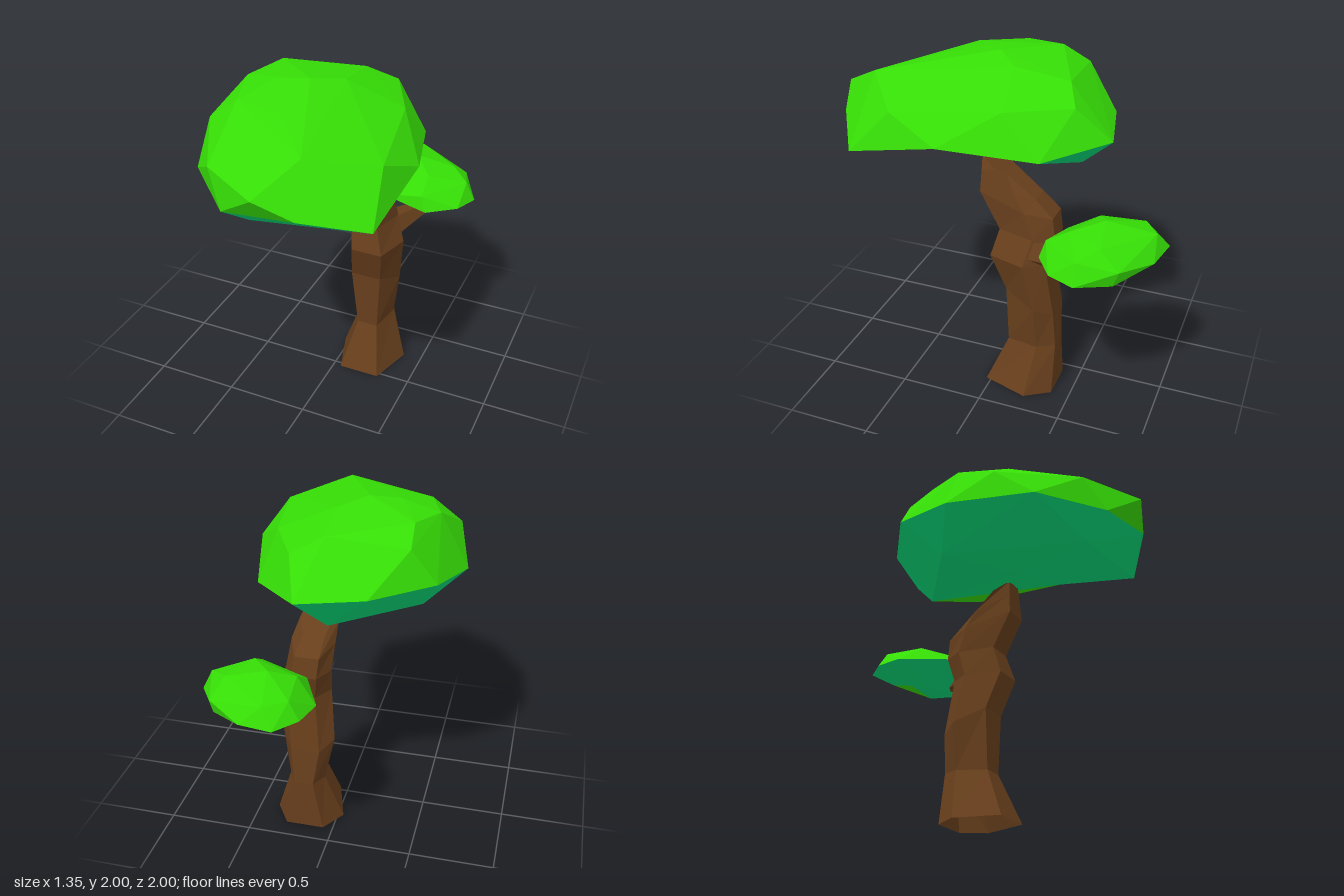
import * as THREE from 'three';
import { ConvexGeometry } from 'three/addons/geometries/ConvexGeometry.js';

const material = (name, color, side = THREE.FrontSide) => {
  const m = new THREE.MeshStandardMaterial({ color, side });
  m.name = name;
  return m;
};

function flatGeometry(positions) {
  const g = new THREE.BufferGeometry();
  g.setAttribute('position', new THREE.Float32BufferAttribute(positions, 3));
  g.computeVertexNormals();
  return g;
}

// Faceted trunk, open at the ground: each section is [yFront, yBack, xMin, xMax, zFront, zBack]
function trunkGeometry(sections) {
  const hex = [[-0.6, 0], [0.6, 0], [1, 0.65], [0.55, 1], [-0.55, 1], [-1, 0.65]];
  const mix = THREE.MathUtils.lerp;
  const rings = sections.map(([yf, yb, x0, x1, zf, zb]) =>
    hex.map(([u, v]) => [mix(x0, x1, (u + 1) / 2), mix(yf, yb, v), mix(zf, zb, v)]));
  const out = [];
  const tri = (...corners) => corners.forEach((c) => out.push(...c));
  for (let r = 0; r < rings.length - 1; r++) {
    const lo = rings[r], hi = rings[r + 1];
    for (let i = 0; i < 6; i++) {
      const j = (i + 1) % 6;
      tri(lo[i], lo[j], hi[j]);
      tri(lo[i], hi[j], hi[i]);
    }
  }
  const top = rings[rings.length - 1];
  for (let i = 1; i < 5; i++) tri(top[0], top[i], top[i + 1]);
  return flatGeometry(out);
}

// Faceted crown: a hull above the rim, and an underside joining the rim to a few low points.
// keel: low points in rim order; feet[i]: the low point that rim edge i reaches;
// leafEdge: a rim edge whose lower face stays leaf coloured
function crown(name, { rim, dome, keel, feet, leafEdge = -1 }, leaf, shade) {
  const upper = [], under = [];
  const key = (p) => p.map((n) => n.toFixed(3)).join();
  const rimKeys = new Set(rim.map(key));

  // Upper faces: the hull without its flat lid across the rim
  const hull = new ConvexGeometry([...rim, ...dome].map((p) => new THREE.Vector3(...p)));
  const a = hull.getAttribute('position').array;
  for (let i = 0; i < a.length; i += 9) {
    const face = [0, 3, 6].map((k) => [a[i + k], a[i + k + 1], a[i + k + 2]]);
    if (!face.every((p) => rimKeys.has(key(p)))) upper.push(...face.flat());
  }

  // Underside faces
  const n = rim.length;
  for (let i = 0; i < n; i++) {
    const foot = keel[feet[i]], before = keel[feet[(i + n - 1) % n]];
    (i === leafEdge ? upper : under).push(...rim[i], ...rim[(i + 1) % n], ...foot);
    if (foot !== before) under.push(...rim[i], ...foot, ...before);
  }
  for (let k = 1; k < keel.length - 1; k++) under.push(...keel[0], ...keel[k], ...keel[k + 1]);

  const group = new THREE.Group();
  group.name = name;
  const top = new THREE.Mesh(flatGeometry(upper), leaf);
  top.name = name + 'Top';
  const bottom = new THREE.Mesh(flatGeometry(under), shade);
  bottom.name = name + 'Underside';
  group.add(top, bottom);
  return group;
}

export function createModel() {
  const bark = material('bark brown', 0x683f1c, THREE.DoubleSide);
  const leaf = material('leaf green', 0x36de06);
  const shade = material('underside green', 0x05dc78);
  const tree = new THREE.Group();
  tree.name = 'tree';

  // Trunk, flaring at the base and leaning forward at the top
  const trunk = new THREE.Mesh(trunkGeometry([
    [0, 0, -0.035, 0.385, 0.03, -0.39],
    [0.3, 0.32, 0.07, 0.285, -0.095, -0.39],
    [0.67, 0.55, 0.01, 0.32, -0.085, -0.375],
    [0.9, 0.9, 0.04, 0.355, 0, -0.33],
    [1.06, 1.05, 0.03, 0.3, -0.04, -0.37],
    [1.27, 1.17, 0.02, 0.28, 0.085, -0.35],
    [1.38, 1.26, 0.02, 0.25, 0.085, -0.24],
    [1.47, 1.38, 0.02, 0.21, 0.09, -0.05],
  ]), bark);
  trunk.name = 'trunk';
  tree.add(trunk);

  // Tapered side branch
  const from = new THREE.Vector3(0.2, 0.95, -0.2), to = new THREE.Vector3(0.43, 1.02, -0.56);
  const dir = to.clone().sub(from);
  const limb = new THREE.CylinderGeometry(0.025, 0.11, dir.length(), 5).toNonIndexed();
  limb.computeVertexNormals();
  const branch = new THREE.Mesh(limb, bark);
  branch.name = 'branch';
  branch.position.copy(from).add(to).multiplyScalar(0.5);
  branch.quaternion.setFromUnitVectors(new THREE.Vector3(0, 1, 0), dir.normalize());
  tree.add(branch);

  // Large crown
  tree.add(crown('largeCrown', {
    rim: [
      [0.13, 1.65, -0.645], [0.42, 1.6, -0.33], [0.565, 1.66, 0.2], [0.525, 1.54, 0.735],
      [0.2, 1.63, 0.93], [-0.24, 1.56, 0.88], [-0.55, 1.6, 0.58],
      [-0.675, 1.62, 0.08], [-0.56, 1.68, -0.31], [-0.24, 1.67, -0.56],
    ],
    dome: [
      [0, 1.735, 1], [-0.355, 1.745, 0.79], [-0.595, 1.79, 0.35], [-0.42, 1.88, -0.345],
      [0.2, 1.84, -0.45], [0.37, 1.83, -0.1], [0.48, 1.79, 0.5], [0.15, 1.875, 0.75],
      [-0.51, 1.94, 0.06], [-0.41, 1.965, -0.185], [0.03, 1.92, -0.37], [0.04, 1.965, -0.05],
      [-0.11, 1.995, 0.09], [-0.29, 1.98, 0.12], [-0.11, 1.93, 0.45], [-0.42, 1.92, 0.35],
    ],
    keel: [[-0.14, 1.38, 0.26], [-0.17, 1.44, 0.72], [-0.455, 1.45, -0.08], [0, 1.44, -0.44]],
    feet: [3, 3, 0, 1, 1, 1, 2, 2, 2, 3],
    leafEdge: 1,
  }, leaf, shade));

  // Small crown on the branch
  tree.add(crown('smallCrown', {
    rim: [
      [0.15, 1.1, -1], [0.345, 1.09, -0.96], [0.545, 1.03, -0.79], [0.67, 1.055, -0.61],
      [0.61, 1.06, -0.455], [0.44, 1.05, -0.345], [0.13, 1.08, -0.41], [0, 1.09, -0.69],
      [0.04, 1.1, -0.87],
    ],
    dome: [
      [0.55, 1.12, -0.82], [0.615, 1.17, -0.6], [0.4, 1.14, -0.37], [0.27, 1.255, -0.67],
      [0.5, 1.21, -0.7], [0.4, 1.22, -0.5], [0.22, 1.2, -0.94], [0.13, 1.2, -0.6],
      [0.1, 1.2, -0.85],
    ],
    keel: [[0.455, 1, -0.55], [0.3, 0.98, -0.6], [0.25, 1.01, -0.75]],
    feet: [2, 2, 0, 0, 0, 1, 1, 2, 2],
    leafEdge: 1,
  }, leaf, shade));

  return tree;
}
